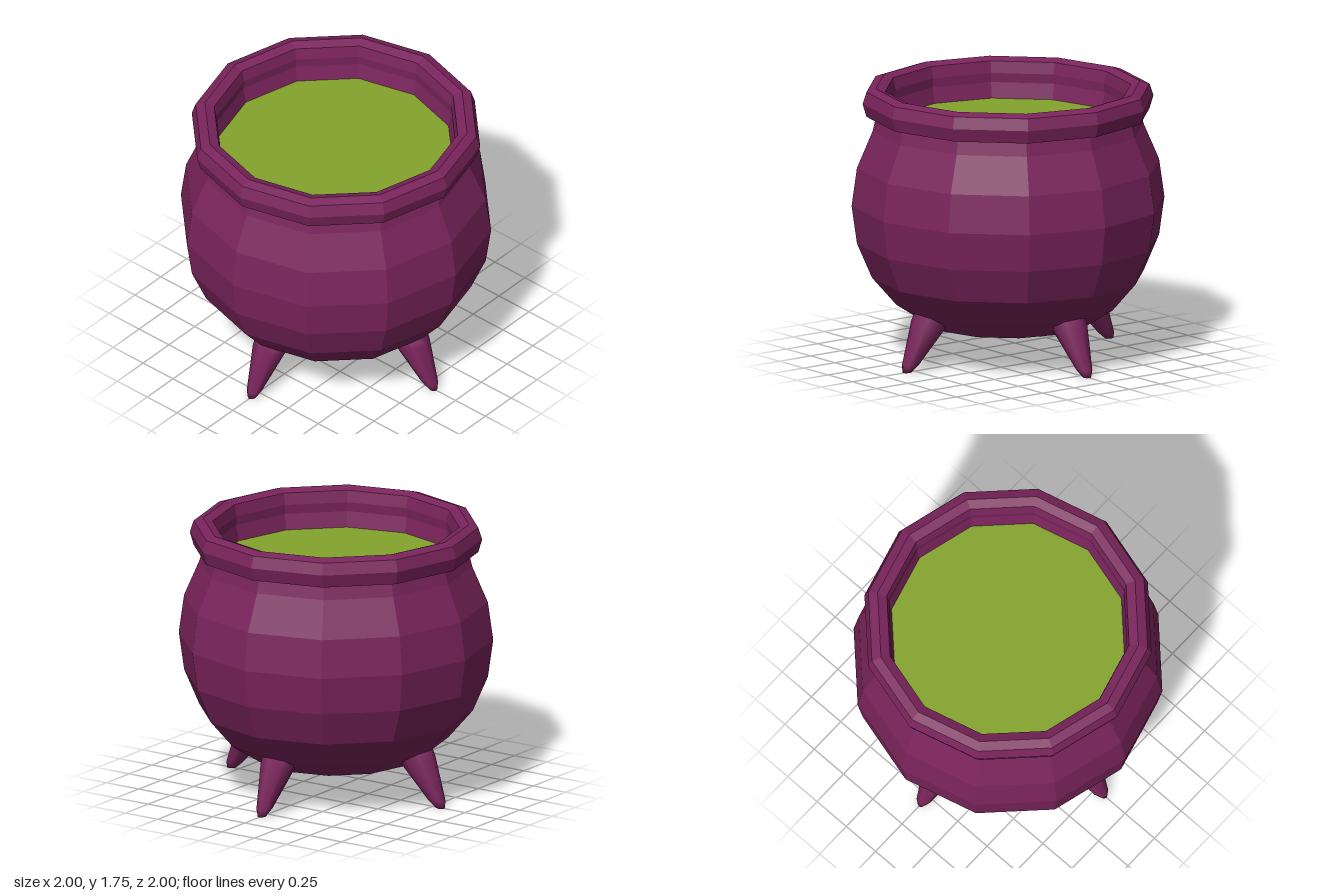
import * as THREE from 'three';

const SIDES = 12;

const lathe = (points, sides) =>
  new THREE.LatheGeometry(points.map(([r, y]) => new THREE.Vector2(r, y)), sides);

function addMesh(group, name, geometry, material) {
  const mesh = new THREE.Mesh(geometry, material);
  mesh.name = name;
  group.add(mesh);
  return mesh;
}

export function createModel() {
  const model = new THREE.Group();
  model.name = 'cauldron';

  const potColor = 0x7a245c;
  const faceted = new THREE.MeshStandardMaterial({ color: potColor, flatShading: true });
  const smooth = new THREE.MeshStandardMaterial({ color: potColor });
  const brew = new THREE.MeshStandardMaterial({ color: 0x84a52c });

  // Round bowl, slightly flattened underneath
  addMesh(model, 'bowl', lathe([
    [0, 0.175], [0.26, 0.18], [0.52, 0.225], [0.715, 0.35], [0.87, 0.53],
    [0.966, 0.755], [1, 1], [0.966, 1.245], [0.866, 1.48], [0.84, 1.59],
  ], SIDES), faceted);

  // Thick bevelled rim, continuing down the inside wall to the liquid
  addMesh(model, 'rim', lathe([
    [0.8, 1.57], [0.905, 1.575], [0.93, 1.66], [0.905, 1.735], [0.845, 1.755],
    [0.785, 1.735], [0.77, 1.66], [0.775, 1.6], [0.75, 1.48],
  ], SIDES), faceted);

  // Liquid surface
  const surface = new THREE.CircleGeometry(0.755, SIDES).rotateX(-Math.PI / 2);
  addMesh(model, 'liquid', surface, brew).position.y = 1.5;

  // Four tapered legs splayed outwards: a vertical lathe sheared towards the bowl
  const legGeometry = lathe([
    [0, 0], [0.03, 0], [0.058, 0.045], [0.137, 0.31], [0.15, 0.42], [0, 0.48],
  ], 8);
  legGeometry.applyMatrix4(new THREE.Matrix4().set(
    1, -0.63, 0, 0.812,
    0, 1, 0, 0,
    0, 0, 0.83, 0,
    0, 0, 0, 1,
  ));
  // Lean the foot so its inner side sits a little lower than its outer side
  const legs = new THREE.Group();
  legs.name = 'legs';
  model.add(legs);
  ['leftLeg', 'backLeg', 'rightLeg', 'frontLeg'].forEach((name, i) => {
    addMesh(legs, name, legGeometry, smooth).rotation.y = i * Math.PI / 2;
  });

  return model;
}
